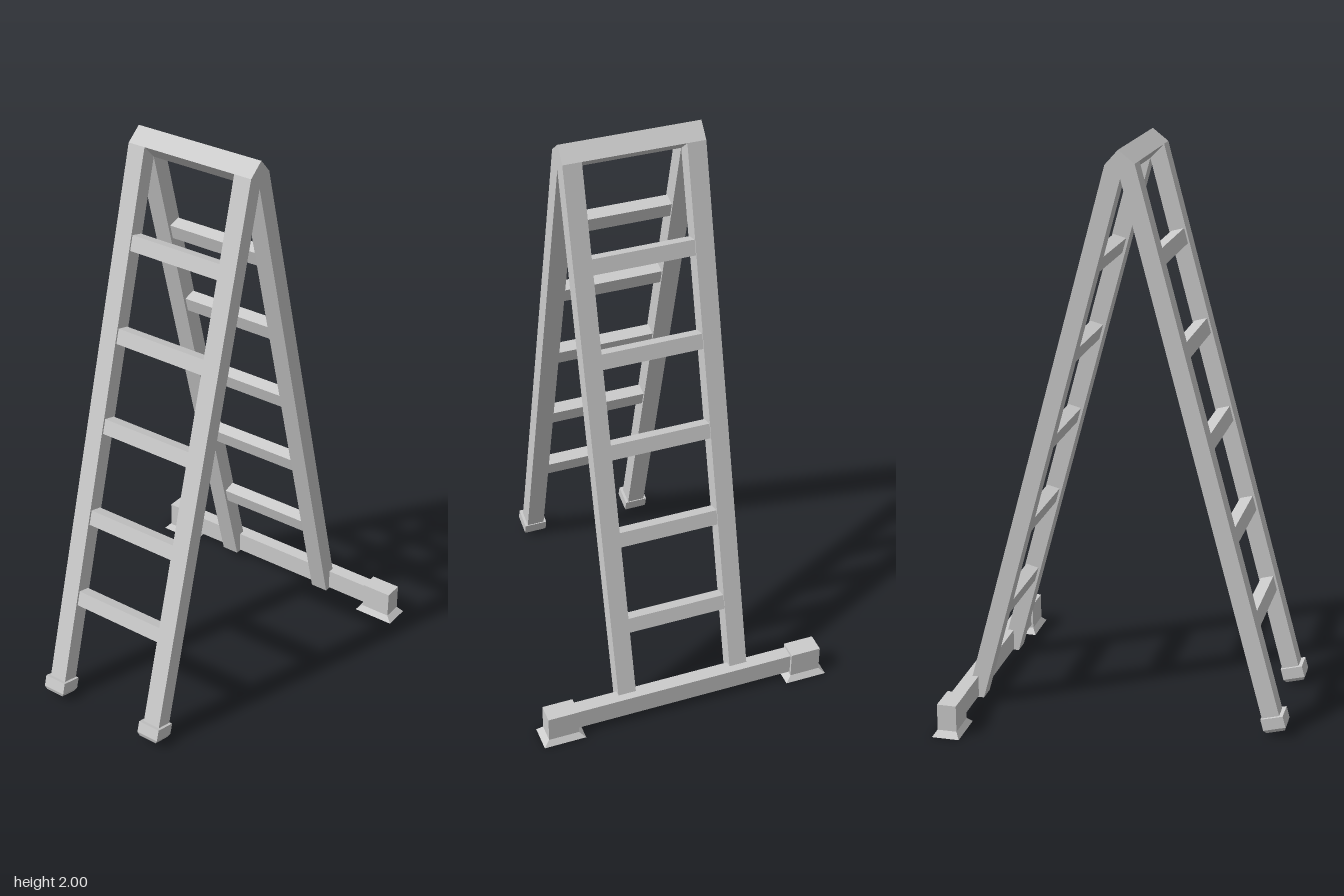
import * as THREE from 'three';

const material = new THREE.MeshStandardMaterial({ color: 0xcccccc, flatShading: true });
const TILT = 0.266; // lean of each ladder side
const MID_Z = -0.0025;

function addMesh(parent, name, geometry, x = 0, y = 0, z = 0, tilt = 0) {
  const mesh = new THREE.Mesh(geometry, material);
  mesh.name = name;
  mesh.position.set(x, y, z);
  mesh.rotation.z = tilt;
  parent.add(mesh);
  return mesh;
}

// Bar with an outline in the xy plane, centred on its depth along z
function bar(points, depth) {
  const shape = new THREE.Shape(points.map(([x, y]) => new THREE.Vector2(x, y)));
  const geometry = new THREE.ExtrudeGeometry(shape, { depth, bevelEnabled: false });
  return geometry.translate(0, 0, -depth / 2);
}

// Box whose top and bottom rectangles differ
function taperedBox([topX, topZ], [bottomX, bottomZ], height) {
  const geometry = new THREE.BoxGeometry(1, height, 1);
  const p = geometry.attributes.position;
  for (let i = 0; i < p.count; i++) {
    const top = p.getY(i) > 0;
    p.setX(i, p.getX(i) * (top ? topX : bottomX));
    p.setZ(i, p.getZ(i) * (top ? topZ : bottomZ));
  }
  geometry.computeVertexNormals();
  return geometry;
}

export function createModel() {
  const model = new THREE.Group();
  model.name = 'stepLadder';

  // Ridge bar joining both sides at the top
  addMesh(model, 'topBar',
    bar([[-0.055, 1.957], [-0.007, 1.907], [0.045, 1.95], [0, 2]], 0.485), 0, 0, MID_Z);

  // Rails, mitred against the ridge bar
  const leftRail = bar([[0.045, 1.95], [-0.007, 1.907], [0.498, 0.025], [0.56, 0.025]].reverse(), 0.065);
  const rightRail = bar([[-0.055, 1.957], [-0.568, 0.065], [-0.508, 0.048], [-0.007, 1.907]], 0.065);
  for (const side of [-1, 1]) {
    const z = MID_Z + side * 0.21;
    addMesh(model, 'leftRail', leftRail, 0, 0, z);
    addMesh(model, 'rightRail', rightRail, 0, 0, z);

    // Tilted shoe with a bevelled sole
    const shoe = new THREE.Group();
    shoe.name = 'shoe';
    shoe.position.set(-0.547, 0.044, z);
    shoe.rotation.z = -TILT;
    addMesh(shoe, 'shoeBlock', new THREE.BoxGeometry(0.08, 0.042, 0.085), 0, 0.006, 0);
    addMesh(shoe, 'shoeSole', taperedBox([0.08, 0.085], [0.066, 0.07], 0.013), 0, -0.0215, 0);
    model.add(shoe);
  }

  // Rungs turned with the lean of their side
  const rung = new THREE.BoxGeometry(0.047, 0.054, 0.37);
  for (const y of [1.605, 1.29, 0.977, 0.664, 0.346]) {
    addMesh(model, 'leftRung', rung, 0.021 + (1.93 - y) * 0.268, y, MID_Z, TILT);
  }
  for (const y of [1.638, 1.325, 1.012, 0.685, 0.386]) {
    addMesh(model, 'rightRung', rung, -0.032 - (1.93 - y) * 0.27, y, MID_Z, -TILT);
  }

  // Stabiliser beam with end blocks and flared pads
  addMesh(model, 'stabiliserBeam', new THREE.BoxGeometry(0.05, 0.075, 0.84), 0.542, 0.0675, MID_Z);
  for (const side of [-1, 1]) {
    const z = MID_Z + side * 0.457;
    addMesh(model, 'endBlock', new THREE.BoxGeometry(0.068, 0.095, 0.11), 0.543, 0.0675, z);
    addMesh(model, 'flaredPad', taperedBox([0.068, 0.11], [0.097, 0.152], 0.02), 0.543, 0.01, z);
  }

  return model;
}
